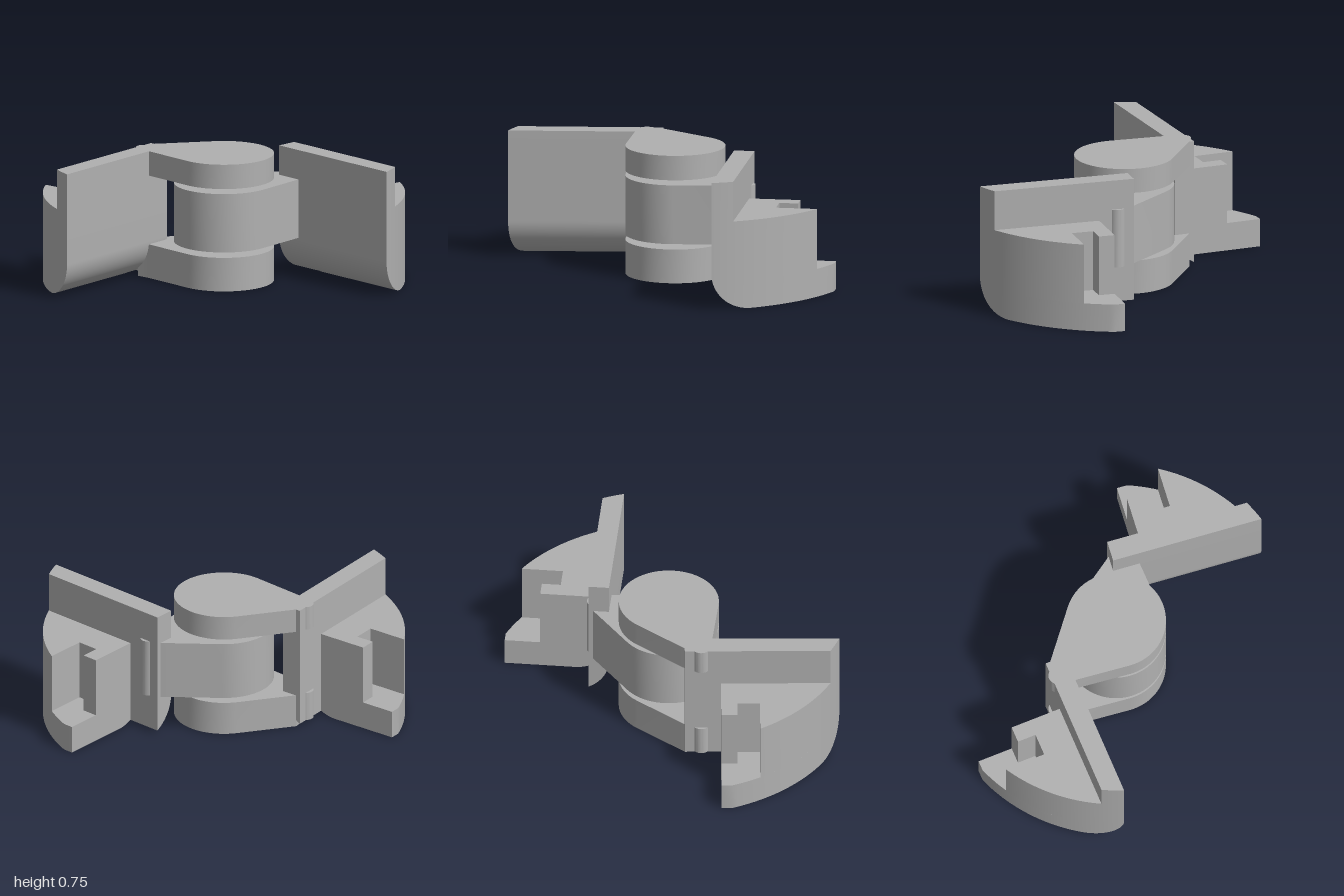
import * as THREE from 'three';
import { toCreasedNormals } from 'three/addons/utils/BufferGeometryUtils.js';

// Leaf space: x runs away from the plate's outer face, z along the plate, hinge axis at the origin.
const REACH = 1.048, OUTER = 0.357, INNER = 0.477, FILLET = 0.22;
const arc = x => Math.sqrt(REACH * REACH - x * x);
const under = x => {
  const d = Math.max(0, OUTER + FILLET - x);
  return FILLET - Math.sqrt(Math.max(0, FILLET * FILLET - d * d));
};

// Solid between x0 and x1 whose rectangular section varies along x
function slab(x0, x1, zMin, zMax, bottom, top, n, power = 1) {
  const rings = [];
  for (let i = 0; i <= n; i++) {
    const x = x0 + (x1 - x0) * (i / n) ** power;
    const z = zMax(x), y = bottom(x);
    rings.push([[x, y, zMin], [x, y, z], [x, top, z], [x, top, zMin]]);
  }
  const pos = [];
  const quad = (a, b, c, d) => pos.push(...a, ...b, ...c, ...a, ...c, ...d);
  for (let i = 0; i < n; i++) {
    for (let k = 0; k < 4; k++) {
      const m = (k + 1) % 4;
      quad(rings[i][k], rings[i + 1][k], rings[i + 1][m], rings[i][m]);
    }
  }
  quad(...rings[0]);
  quad(...rings[n].slice().reverse());
  const geo = new THREE.BufferGeometry();
  geo.setAttribute('position', new THREE.Float32BufferAttribute(pos, 3));
  return geo;
}

// Teardrop knuckle joining the barrel to the plate
function knuckle(y0, y1) {
  const r = 0.29, pts = [];
  const from = THREE.MathUtils.degToRad(129.5), to = THREE.MathUtils.degToRad(366);
  for (let i = 0; i <= 48; i++) {
    const t = from + (to - from) * i / 48;
    pts.push(new THREE.Vector2(r * Math.sin(t), -r * Math.cos(t)));
  }
  pts.push(new THREE.Vector2(0.36, -0.25), new THREE.Vector2(0.44, -0.25), new THREE.Vector2(0.45, -0.092));
  const geo = new THREE.ExtrudeGeometry(new THREE.Shape(pts), { depth: y1 - y0, bevelEnabled: false });
  return geo.rotateX(-Math.PI / 2).translate(0, y0, 0);
}

// Half-round ridge on the plate's inner face
function ridge(y0, y1) {
  return new THREE.CylinderGeometry(0.05, 0.05, y1 - y0, 20, 1, false, 0, Math.PI)
    .translate(0.445, (y0 + y1) / 2, 0.185);
}

// Apply a placement, reversing the faces when it mirrors
function place(geometry, matrix) {
  const src = geometry.index ? geometry.toNonIndexed() : geometry;
  const geo = new THREE.BufferGeometry();
  geo.setAttribute('position', src.getAttribute('position').clone());
  geo.applyMatrix4(matrix);
  if (matrix.determinant() < 0) {
    const p = geo.attributes.position.array;
    for (let i = 0; i < p.length; i += 9) {
      for (let k = 3; k < 6; k++) [p[i + k], p[i + k + 3]] = [p[i + k + 3], p[i + k]];
    }
  }
  return toCreasedNormals(geo, 0.45);
}

export function createModel() {
  const model = new THREE.Group();
  model.name = 'hinge';
  const grey = new THREE.MeshStandardMaterial({ color: 0xb0b0b0 });
  grey.name = 'grey';
  const hinge = new THREE.Vector3(0.013, 0, -0.025);

  function leaf(name, matrix, spans) {
    const group = new THREE.Group();
    group.name = name;
    const add = (part, geo) => {
      const mesh = new THREE.Mesh(place(geo, matrix), grey);
      mesh.name = part;
      group.add(mesh);
    };
    const flat = y => () => y;
    // Upright plate with a rounded lower edge
    add('plate', slab(OUTER, INNER, 0.09, arc, under, 0.755, 20, 2));
    // Quarter-round block with an L-shaped recess down to a low step
    add('block', slab(INNER, 0.667, 0.3, arc, under, 0.52, 16));
    add('blockTip', slab(0.667, 0.906, 0.525, arc, flat(0.165), 0.52, 16));
    add('post', slab(0.667, 0.777, 0.3, flat(0.395), flat(0.165), 0.52, 1));
    add('step', slab(0.667, 0.984, 0.3, arc, flat(0), 0.165, 24));
    // Barrel knuckles and the matching ridges
    for (const [y0, y1] of spans) {
      add('knuckle', knuckle(y0, y1));
      add('ridge', ridge(Math.max(y0, 0.025), y1));
    }
    model.add(group);
  }

  // Left leaf carries the middle knuckle
  leaf('leftLeaf', new THREE.Matrix4().setPosition(hinge), [[0.232, 0.58]]);

  // Right leaf is a mirrored copy swung open, with the outer knuckles
  const a = THREE.MathUtils.degToRad(5.9), s = Math.sin(a), c = Math.cos(a);
  const swung = new THREE.Matrix4().makeBasis(
    new THREE.Vector3(-s, 0, -c), new THREE.Vector3(0, 1, 0), new THREE.Vector3(-c, 0, s)
  ).setPosition(hinge);
  leaf('rightLeaf', swung, [[0, 0.2], [0.61, 0.755]]);

  // Pin showing in the gaps between knuckles
  const pin = new THREE.Mesh(new THREE.CylinderGeometry(0.127, 0.127, 0.45, 40), grey);
  pin.name = 'pin';
  pin.position.set(hinge.x, 0.405, hinge.z);
  model.add(pin);
  return model;
}
